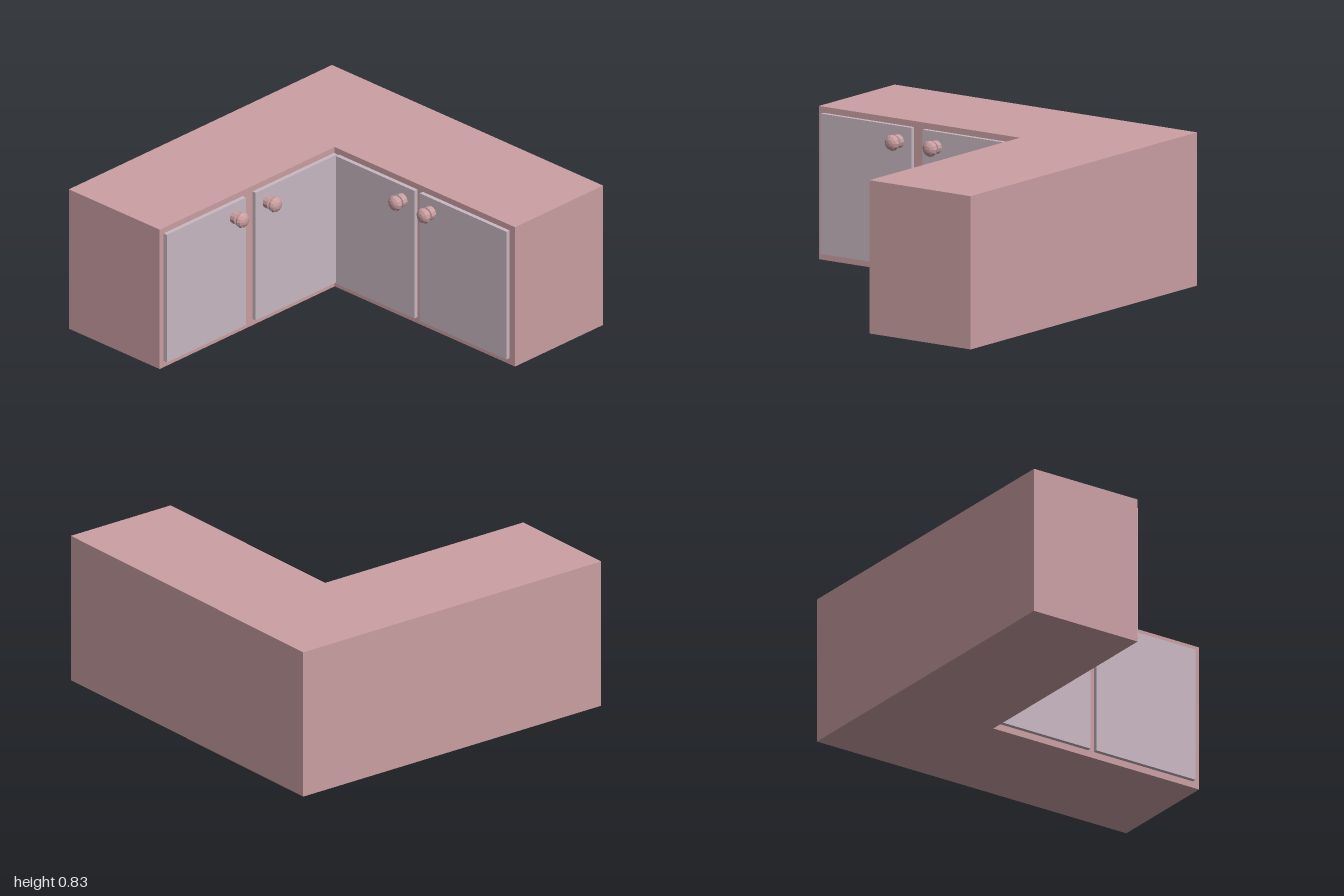
import * as THREE from 'three';

export function createModel() {
  const model = new THREE.Group();
  model.name = 'cornerCabinet';
  const rose = new THREE.MeshStandardMaterial({ name: 'dusty rose', color: 0xcb9fa3, flatShading: true });
  const lilac = new THREE.MeshStandardMaterial({ name: 'pale lilac', color: 0xc9b8c2, flatShading: true });
  const H = 0.83, INNER = 0.33;

  // L-shaped carcass, drawn as a plan and extruded upwards
  const plan = new THREE.Shape([
    [-1, 1], [-1, INNER], [INNER, INNER], [INNER, -1], [1, -1], [1, 1],
  ].map(([x, y]) => new THREE.Vector2(x, y)));
  const carcass = new THREE.Mesh(new THREE.ExtrudeGeometry(plan, { depth: H, bevelEnabled: false }), rose);
  carcass.rotation.x = -Math.PI / 2;
  carcass.name = 'carcass';
  model.add(carcass);

  // Turned knob: collar, narrow neck and domed head
  const knobProfile = [
    [0, 0], [0.037, 0], [0.037, 0.034], [0.027, 0.036], [0.027, 0.046],
    [0.041, 0.049], [0.044, 0.061], [0.037, 0.075], [0.02, 0.085], [0, 0.088],
  ].map(([r, y]) => new THREE.Vector2(r, y));
  const knobGeometry = new THREE.LatheGeometry(knobProfile, 12);
  knobGeometry.rotateX(Math.PI / 2);

  // A wing front faces local +z; doors run from a to b along local x
  function wingFront(name, doors) {
    const wing = new THREE.Group();
    wing.name = name;
    doors.forEach(({ a, b, knob }, i) => {
      const t = 0.024;
      const door = new THREE.Mesh(new THREE.BoxGeometry(b - a, 0.76, t), lilac);
      door.position.set((a + b) / 2, 0.417, -INNER + t / 2);
      door.name = `door${i + 1}`;
      const handle = new THREE.Mesh(knobGeometry, rose);
      handle.position.set(knob, 0.715, -INNER + t - 0.002);
      handle.name = `knob${i + 1}`;
      wing.add(door, handle);
    });
    model.add(wing);
    return wing;
  }

  wingFront('backWingFront', [
    { a: -0.97, b: -0.37, knob: -0.455 },
    { a: -0.295, b: 0.325, knob: -0.205 },
  ]);
  // Turned to face -x, so local x follows world z
  wingFront('sideWingFront', [
    { a: -0.298, b: 0.282, knob: 0.195 },
    { a: 0.32, b: 0.96, knob: 0.405 },
  ]).rotation.y = -Math.PI / 2;

  return model;
}
